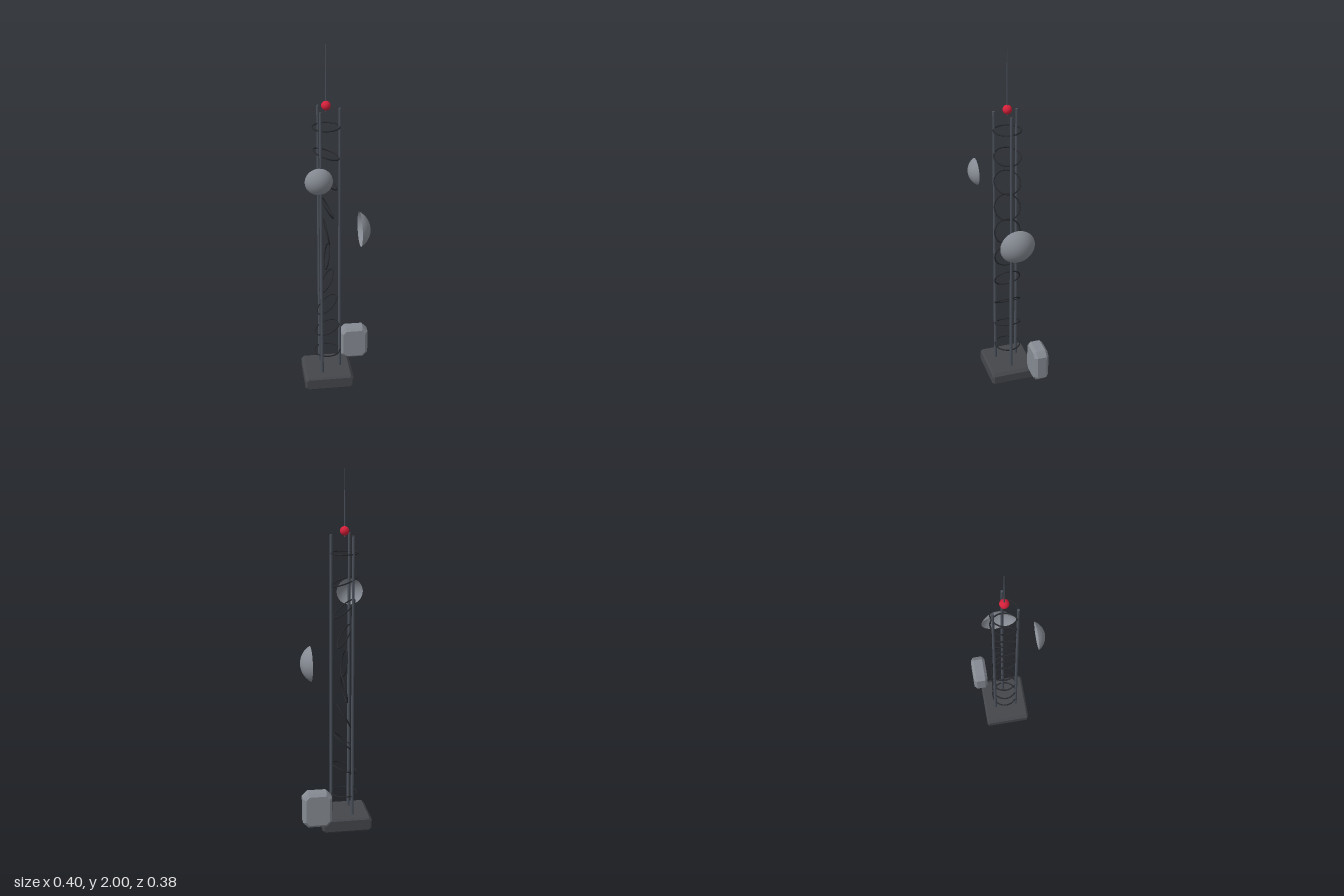
import * as THREE from 'three';

const CX = -0.057, CZ = -0.016; // mast axis
const MAST_R = 0.073;

const mat = (color, opts = {}) => new THREE.MeshStandardMaterial({ color, ...opts });

// Box with cut corners, extruded along z with a single bevel, centred on the origin
function chamferedBox(w, h, d, cut, bevel) {
  const x = w / 2 - bevel, y = h / 2 - bevel;
  const shape = new THREE.Shape([
    [x - cut, -y], [x, -y + cut], [x, y - cut], [x - cut, y],
    [-x + cut, y], [-x, y - cut], [-x, -y + cut], [-x + cut, -y],
  ].map(([a, b]) => new THREE.Vector2(a, b)));
  const geo = new THREE.ExtrudeGeometry(shape, {
    depth: d - 2 * bevel, bevelEnabled: true, bevelSegments: 1,
    bevelSize: bevel, bevelThickness: bevel,
  });
  return geo.translate(0, 0, -d / 2 + bevel);
}

export function createModel() {
  const model = new THREE.Group();
  model.name = 'radioMast';

  const add = (name, geo, material, x, y, z, parent = model) => {
    const mesh = new THREE.Mesh(geo, material);
    mesh.name = name;
    mesh.position.set(x, y, z);
    parent.add(mesh);
    return mesh;
  };

  const baseMat = mat(0x44464b, { flatShading: true });
  const cabinetMat = mat(0x868b93, { flatShading: true });
  const poleMat = mat(0x4a505a);
  const ringMat = mat(0x26282c);
  const dishMat = mat(0x868b93, { side: THREE.DoubleSide });
  const lampMat = mat(0xd4203a);

  // Foundation slab and equipment cabinet
  add('base', chamferedBox(0.281, 0.08, 0.26, 0.01, 0.01), baseMat, CX, 0.04, CZ);
  add('cabinet', chamferedBox(0.162, 0.2, 0.085, 0.02, 0.016), cabinetMat, 0.117, 0.16, -0.147);

  // Three upright poles
  const poles = new THREE.Group();
  poles.name = 'poles';
  model.add(poles);
  const poleGeo = new THREE.CylinderGeometry(0.007, 0.009, 1.6, 12);
  for (let i = 0; i < 3; i++) {
    const a = (i * Math.PI * 2) / 3;
    add('pole', poleGeo, poleMat, CX + MAST_R * Math.cos(a), 0.86, CZ + MAST_R * Math.sin(a), poles);
  }

  // Bracing rings, each tilted 20 degrees further than the one below
  const rings = new THREE.Group();
  rings.name = 'bracingRings';
  model.add(rings);
  const ringGeo = new THREE.TorusGeometry(MAST_R, 0.004, 8, 40).rotateX(Math.PI / 2);
  for (let i = 0; i < 10; i++) {
    add('bracingRing', ringGeo, ringMat, CX, 0.19 + i * 0.1522, CZ, rings)
      .rotation.z = (i * Math.PI) / 9;
  }

  // Dishes: open spherical caps, rim towards the mast
  const cap = (r) => {
    const geo = new THREE.SphereGeometry(r, 32, 12, 0, Math.PI * 2, 0, Math.PI / 3);
    return geo.translate(0, -r / 2, 0); // rim centre at the origin
  };
  add('frontDish', cap(0.0855), dishMat, -0.115, 1.317, 0.143).rotation.x = Math.PI / 2;
  add('sideDish', cap(0.1135), dishMat, 0.13, 0.955, CZ).rotation.z = -Math.PI / 2;

  // Whip antenna and warning lamp
  add('antenna', new THREE.CylinderGeometry(0.002, 0.004, 0.355, 8), poleMat, CX, 1.8225, CZ);
  add('warningLamp', new THREE.SphereGeometry(0.025, 24, 16), lampMat, CX, 1.677, CZ);

  return model;
}
